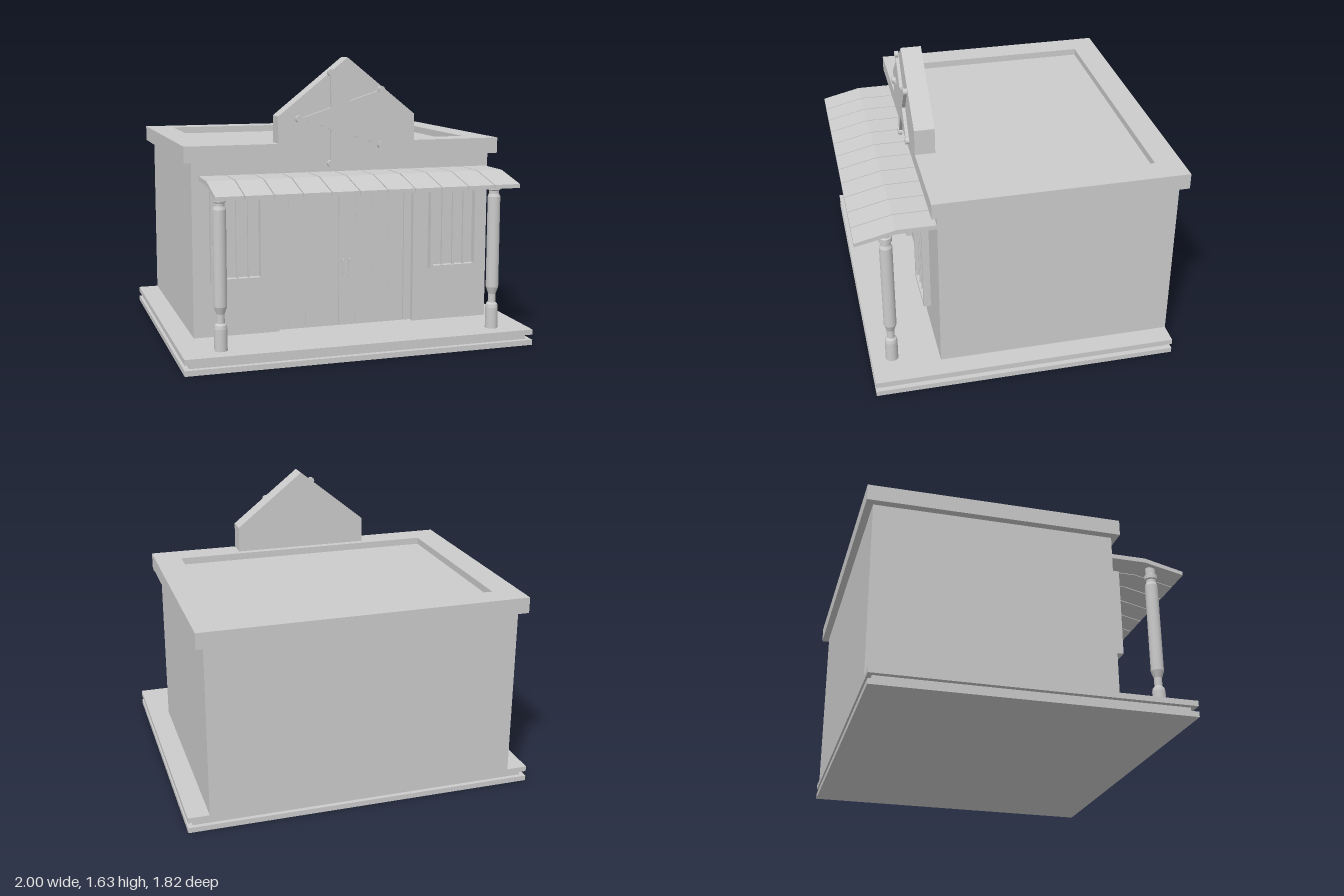
import * as THREE from 'three';

const mat = new THREE.MeshStandardMaterial({ color: 0xcccccc, side: THREE.DoubleSide });

export function createModel() {
  const root = new THREE.Group();

  const add = (name, geo, parent = root) => {
    const m = new THREE.Mesh(geo, mat);
    m.name = name;
    parent.add(m);
    return m;
  };
  const group = (name) => {
    const g = new THREE.Group();
    g.name = name;
    root.add(g);
    return g;
  };
  // Box given by its limits on each axis
  const box = (name, x0, x1, y0, y1, z0, z1, parent) => {
    const geo = new THREE.BoxGeometry(x1 - x0, y1 - y0, z1 - z0);
    geo.translate((x0 + x1) / 2, (y0 + y1) / 2, (z0 + z1) / 2);
    return add(name, geo, parent);
  };
  const shapeOf = (pts) => new THREE.Shape(pts.map(([x, y]) => new THREE.Vector2(x, y)));
  const extrude = (shape, depth) => new THREE.ExtrudeGeometry(shape, { depth, bevelEnabled: false });

  // Stepped base with a groove around it
  const base = group('base');
  box('lowerSlab', -1, 1, 0, 0.03, -0.87, 0.855, base);
  box('groove', -0.97, 0.97, 0.03, 0.06, -0.845, 0.825, base);
  box('upperSlab', -1, 1, 0.06, 0.09, -0.87, 0.855, base);

  // Building, with the doorway notched out of the front wall
  box('building', -0.88, 0.88, 0.09, 1.07, -0.87, 0.42);
  const wall = shapeOf([
    [-0.88, 0.09], [-0.39, 0.09], [-0.39, 0.905], [0.417, 0.905],
    [0.417, 0.09], [0.88, 0.09], [0.88, 1.07], [-0.88, 1.07],
  ]);
  add('frontWall', extrude(wall, 0.05).translate(0, 0, 0.42));

  // Roof slab and raised rim around the sunken roof
  box('roofSlab', -0.925, 0.925, 1.07, 1.12, -0.91, 0.505);
  const rim = shapeOf([[-0.925, -0.505], [0.925, -0.505], [0.925, 0.91], [-0.925, 0.91]]);
  rim.holes.push(new THREE.Path(
    [[-0.77, -0.35], [-0.77, 0.76], [0.77, 0.76], [0.77, -0.35]].map(([x, y]) => new THREE.Vector2(x, y))));
  add('roofRim', extrude(rim, 0.04).rotateX(-Math.PI / 2).translate(0, 1.12, 0));

  // Gabled sign board
  const board = shapeOf([[-0.4, 1.16], [0.4, 1.16], [0.4, 1.31], [0, 1.63], [-0.4, 1.31]]);
  add('signBoard', extrude(board, 0.115).translate(0, 0, 0.39));

  // Five-pointed star with a round stud on each tip
  const star = group('star');
  const pts = [];
  for (let i = 0; i < 10; i++) {
    const a = Math.PI + (i * Math.PI) / 5;
    const r = i % 2 ? 0.1 : 0.265;
    const x = -0.02 + r * Math.cos(a);
    const y = 1.295 + r * Math.sin(a);
    pts.push([x, y]);
    if (i % 2 === 0) {
      const stud = new THREE.CylinderGeometry(0.019, 0.019, 0.022, 16).rotateX(Math.PI / 2);
      add('starStud', stud.translate(x, y, 0.518), star);
    }
  }
  add('starPlate', extrude(shapeOf(pts), 0.019).translate(0, 0, 0.505), star);

  // Bent awning made of eleven planks
  const awning = group('awning');
  const profile = shapeOf([
    [0.47, 0.967], [0.685, 0.967], [0.91, 0.918], [0.91, 0.94], [0.685, 0.993], [0.47, 0.993],
  ]);
  const pitch = 1.711 / 11;
  for (let i = 0; i < 11; i++) {
    const w = pitch - 0.006;
    const plank = extrude(profile, w).rotateY(-Math.PI / 2); // profile x becomes z
    add('awningPlank', plank.translate(-0.838 + i * pitch + w, 0, 0), awning);
  }

  // Turned porch posts
  const postProfile = [
    [0, 0.09], [0.036, 0.09], [0.036, 0.21], [0.032, 0.23], [0.022, 0.24], [0.022, 0.29],
    [0.036, 0.33], [0.036, 0.85], [0.028, 0.868], [0.028, 0.885], [0.036, 0.89],
    [0.036, 0.915], [0.028, 0.92], [0.028, 0.97], [0, 0.97],
  ].map(([r, y]) => new THREE.Vector2(r, y));
  // Each band gets its own rings so the edges stay crisp
  for (const x of [-0.783, 0.797]) {
    const post = group('porchPost');
    post.position.set(x, 0, 0.737);
    for (let i = 0; i < postProfile.length - 1; i++) {
      add('postBand', new THREE.LatheGeometry(postProfile.slice(i, i + 2), 20), post);
    }
  }

  // Barred windows standing clear of the wall
  for (const s of [-1, 1]) {
    const win = group(s > 0 ? 'leftWindow' : 'rightWindow');
    win.position.x = s * 0.643;
    const h = 0.147, t = 0.018;
    for (const e of [-1, 1]) {
      const x = e * (h - t / 2);
      box('frameSide', x - t / 2, x + t / 2, 0.41, 0.915, 0.503, 0.543, win);
    }
    box('frameBottom', -h + t, h - t, 0.41, 0.428, 0.503, 0.543, win);
    box('frameTop', -h + t, h - t, 0.897, 0.915, 0.503, 0.543, win);
    for (const x of [-0.066, 0, 0.066]) {
      box('windowBar', x - 0.005, x + 0.005, 0.428, 0.897, 0.515, 0.531, win);
    }
  }

  // Recessed double door with plank seams and handles
  const door = group('door');
  box('rightLeaf', -0.39, -0.03, 0.09, 0.905, 0.42, 0.435, door);
  box('leftLeaf', -0.024, 0.365, 0.09, 0.905, 0.42, 0.435, door);
  box('doorJamb', 0.373, 0.417, 0.09, 0.905, 0.42, 0.435, door);
  [-0.32, -0.225, -0.13, 0.075, 0.175, 0.275].forEach((x, i) => {
    const n = i % 3 === 1 ? 5 : 8;
    const step = 0.8 / n;
    for (let k = 0; k < n; k++) {
      const y = 0.1 + k * step;
      box('plankSeam', x - 0.003, x + 0.003, y, y + step * 0.55, 0.434, 0.437, door);
    }
  });
  for (const x of [-0.006, 0.033]) {
    box('doorHandle', x - 0.006, x + 0.006, 0.38, 0.48, 0.45, 0.46, door);
    for (const y of [0.38, 0.47]) {
      box('handleMount', x - 0.006, x + 0.006, y, y + 0.01, 0.435, 0.45, door);
    }
  }

  return root;
}
